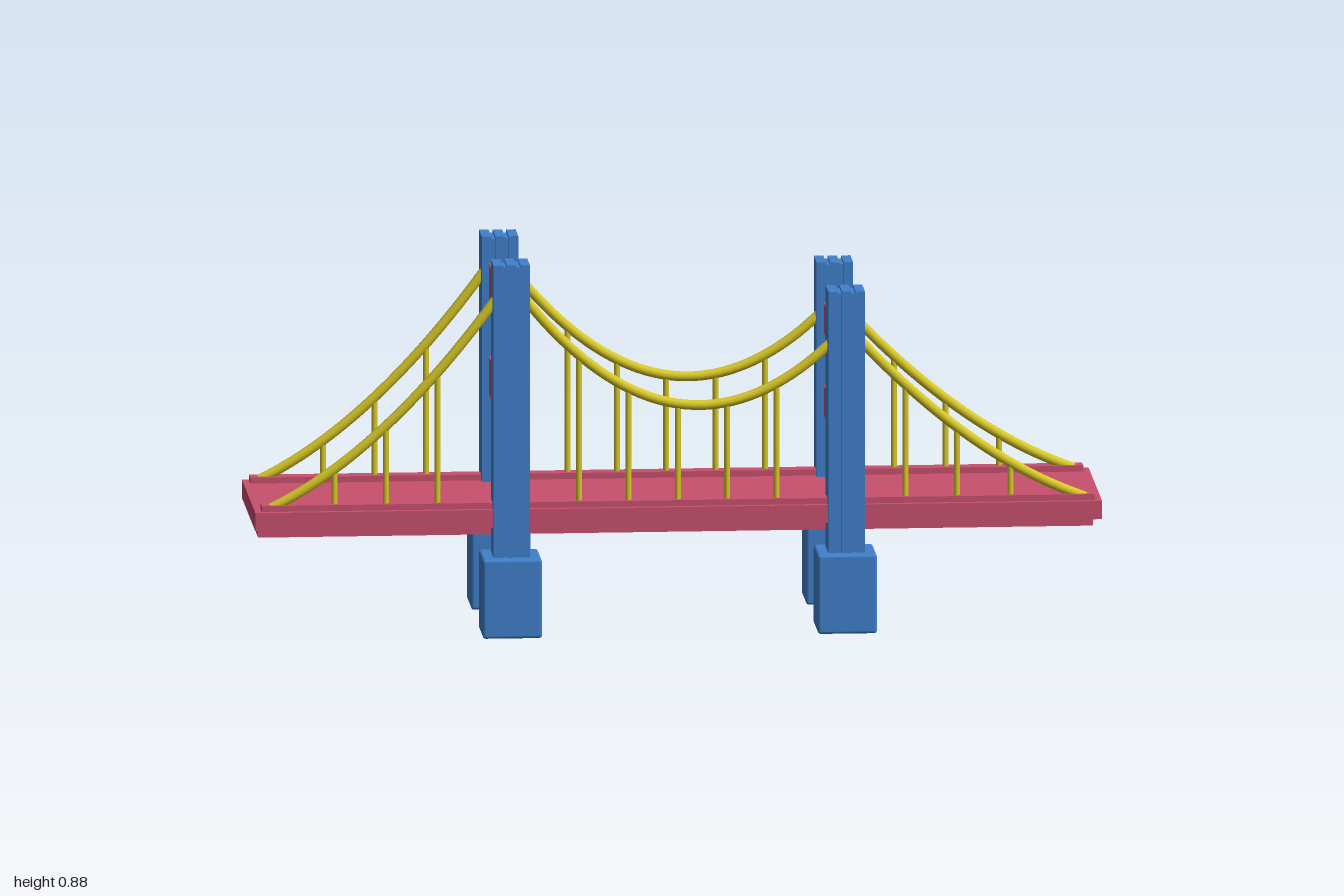
import * as THREE from 'three';
import { RoundedBoxGeometry } from 'three/addons/geometries/RoundedBoxGeometry.js';

const blue = new THREE.MeshStandardMaterial({ color: 0x4080cc });
const red = new THREE.MeshStandardMaterial({ color: 0xc8506e });
const yellow = new THREE.MeshStandardMaterial({ color: 0xd8c828 });

const SIDE_Z = 0.179; // distance of columns, curbs and cables from the centre line
const TOWER_X = 0.39;
const PIER_H = 0.187;
const DECK_TOP = 0.298;
const CURB_TOP = 0.312;

function add(parent, name, geometry, material, x = 0, y = 0, z = 0) {
  const mesh = new THREE.Mesh(geometry, material);
  mesh.name = name;
  mesh.position.set(x, y, z);
  parent.add(mesh);
  return mesh;
}

// box given by its bottom and top heights
function slab(parent, name, material, w, bottom, top, d, x = 0, z = 0) {
  return add(parent, name, new THREE.BoxGeometry(w, top - bottom, d), material, x, (bottom + top) / 2, z);
}

// two columns on piers, joined by two cross beams
function tower(name, x, top, beams) {
  const group = new THREE.Group();
  group.name = name;
  for (const s of [-1, 1]) {
    const z = s * SIDE_Z;
    add(group, 'pier', new RoundedBoxGeometry(0.138, PIER_H, 0.138, 2, 0.007), blue, x, PIER_H / 2, z);
    slab(group, 'columnCore', blue, 0.07, PIER_H - 0.01, top - 0.006, 0.07, x, z);
    for (const i of [-1, 0, 1]) {
      slab(group, 'columnPlate', blue, 0.022, PIER_H - 0.01, top, 0.085, x + i * 0.0315, z);
    }
  }
  for (const [bottom, beamTop] of beams) {
    slab(group, 'crossBeam', red, 0.052, bottom, beamTop, 2 * SIDE_Z - 0.06, x);
  }
  return group;
}

// cable height over the main span and over the sagging side spans
const mainSpan = (x) => 0.537 - 0.16 * x + 1.54 * x * x;
const sideSpan = (height, sag) => (x) => {
  const t = (Math.abs(x) - 0.435) / 0.51;
  return height + (0.305 - height) * t - 4 * sag * t * (1 - t);
};

const spans = [
  { name: 'leftwardCable', from: -0.945, to: -0.415, height: sideSpan(0.775, 0.055), hangers: [-0.8, -0.68, -0.56] },
  { name: 'mainCable', from: -0.37, to: 0.37, height: mainSpan, hangers: [-0.23, -0.115, 0, 0.115, 0.23] },
  { name: 'rightwardCable', from: 0.415, to: 0.945, height: sideSpan(0.67, 0.045), hangers: [0.53, 0.65, 0.775] },
];

function cableSpan({ name, from, to, height, hangers }, z) {
  const group = new THREE.Group();
  group.name = name;
  const points = [];
  for (let i = 0; i <= 12; i++) {
    const x = from + ((to - from) * i) / 12;
    points.push(new THREE.Vector3(x, height(x), z));
  }
  add(group, 'cable', new THREE.TubeGeometry(new THREE.CatmullRomCurve3(points), 40, 0.0115, 10), yellow);
  // rounded cable ends
  for (const p of [points[0], points[12]]) {
    add(group, 'cableEnd', new THREE.SphereGeometry(0.0115, 10, 8), yellow, p.x, p.y, p.z);
  }
  for (const x of hangers) {
    const h = height(x) - DECK_TOP;
    add(group, 'hanger', new THREE.CylinderGeometry(0.007, 0.007, h, 8), yellow, x, DECK_TOP + h / 2, z);
  }
  return group;
}

export function createModel() {
  const bridge = new THREE.Group();
  bridge.name = 'suspensionBridge';
  bridge.rotation.y = -0.1115;

  // roadway with a narrower girder below and curbs along both edges
  slab(bridge, 'deck', red, 1.972, 0.255, DECK_TOP, 0.412);
  slab(bridge, 'girder', red, 1.945, 0.222, 0.256, 0.225);
  for (const s of [-1, 1]) {
    slab(bridge, 'curb', red, 1.94, DECK_TOP - 0.005, CURB_TOP, 0.037, 0, s * 0.1745);
  }

  bridge.add(
    tower('tallTower', -TOWER_X, 0.878, [[0.725, 0.815], [0.505, 0.595]]),
    tower('shortTower', TOWER_X, 0.805, [[0.64, 0.71], [0.445, 0.515]]),
  );

  for (const s of [-1, 1]) {
    for (const span of spans) bridge.add(cableSpan(span, s * 0.176));
  }

  const model = new THREE.Group();
  model.name = 'model';
  model.add(bridge);
  return model;
}
